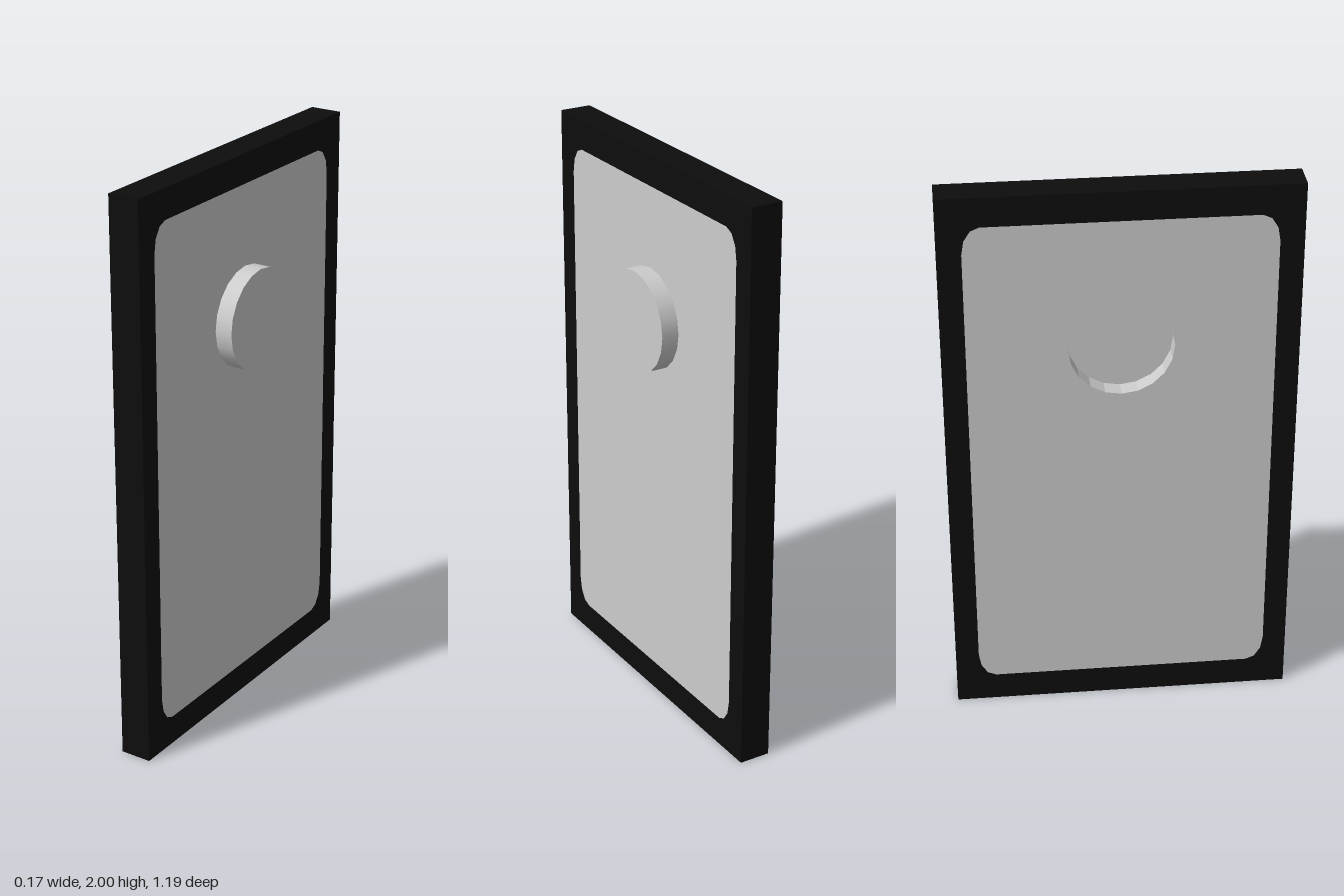
import * as THREE from 'three';

const BACK = -0.088, FACE = 0.024, TOP = 0.086; // x positions
const BUTTON_Y = 1.435, BUTTON_R = 0.178, SIDES = 20, RECESS = 0.062;

// Panel outline in (z, y), with slightly tall chamfer-like rounded corners
function panelPoints() {
  const halfW = 0.515, halfH = 0.896, midY = 1.0, rx = 0.06, ry = 0.095;
  const points = [];
  for (let corner = 0; corner < 4; corner++) {
    const sx = corner === 0 || corner === 3 ? 1 : -1;
    const sy = corner < 2 ? 1 : -1;
    for (let i = 0; i <= 3; i++) {
      const a = (corner + i / 3) * Math.PI / 2;
      points.push(new THREE.Vector2(
        sx * (halfW - rx) + rx * Math.cos(a),
        midY + sy * (halfH - ry) + ry * Math.sin(a)));
    }
  }
  return points;
}

function circlePoints() {
  return Array.from({ length: SIDES }, (_, i) => {
    const a = i / SIDES * Math.PI * 2;
    return new THREE.Vector2(BUTTON_R * Math.cos(a), BUTTON_Y + BUTTON_R * Math.sin(a));
  });
}

// Extrudes a (z, y) shape through the slab's thickness along x
function slab(outline, hole) {
  const shape = new THREE.Shape(outline);
  shape.holes.push(new THREE.Path(hole));
  return new THREE.ExtrudeGeometry(shape, { depth: FACE - BACK, bevelEnabled: false })
    .rotateY(Math.PI / 2).translate(BACK, 0, 0);
}

export function createModel() {
  const black = new THREE.MeshStandardMaterial({ color: 0x0d0d0d });
  black.name = 'black';
  const lightGrey = new THREE.MeshStandardMaterial({ color: 0xcccccc });
  lightGrey.name = 'lightGrey';

  const model = new THREE.Group();
  model.name = 'framedPanel';
  const add = (name, geometry, material) => {
    const mesh = new THREE.Mesh(geometry, material);
    mesh.name = name;
    model.add(mesh);
  };

  // Square-cornered border around the panel
  const w = 0.596;
  const border = [[-w, 0], [w, 0], [w, 2], [-w, 2]].map(([x, y]) => new THREE.Vector2(x, y));
  add('frame', slab(border, panelPoints()), black);

  // Flush panel with a round opening for the button
  add('panel', slab(panelPoints(), circlePoints()), lightGrey);

  // Round button: raised on one face, leaving an equal recess on the other
  const floor = BACK + RECESS;
  const button = new THREE.CylinderGeometry(BUTTON_R, BUTTON_R, TOP - floor, SIDES)
    .rotateZ(-Math.PI / 2).translate((TOP + floor) / 2, BUTTON_Y, 0);
  add('button', button, lightGrey);

  return model;
}
